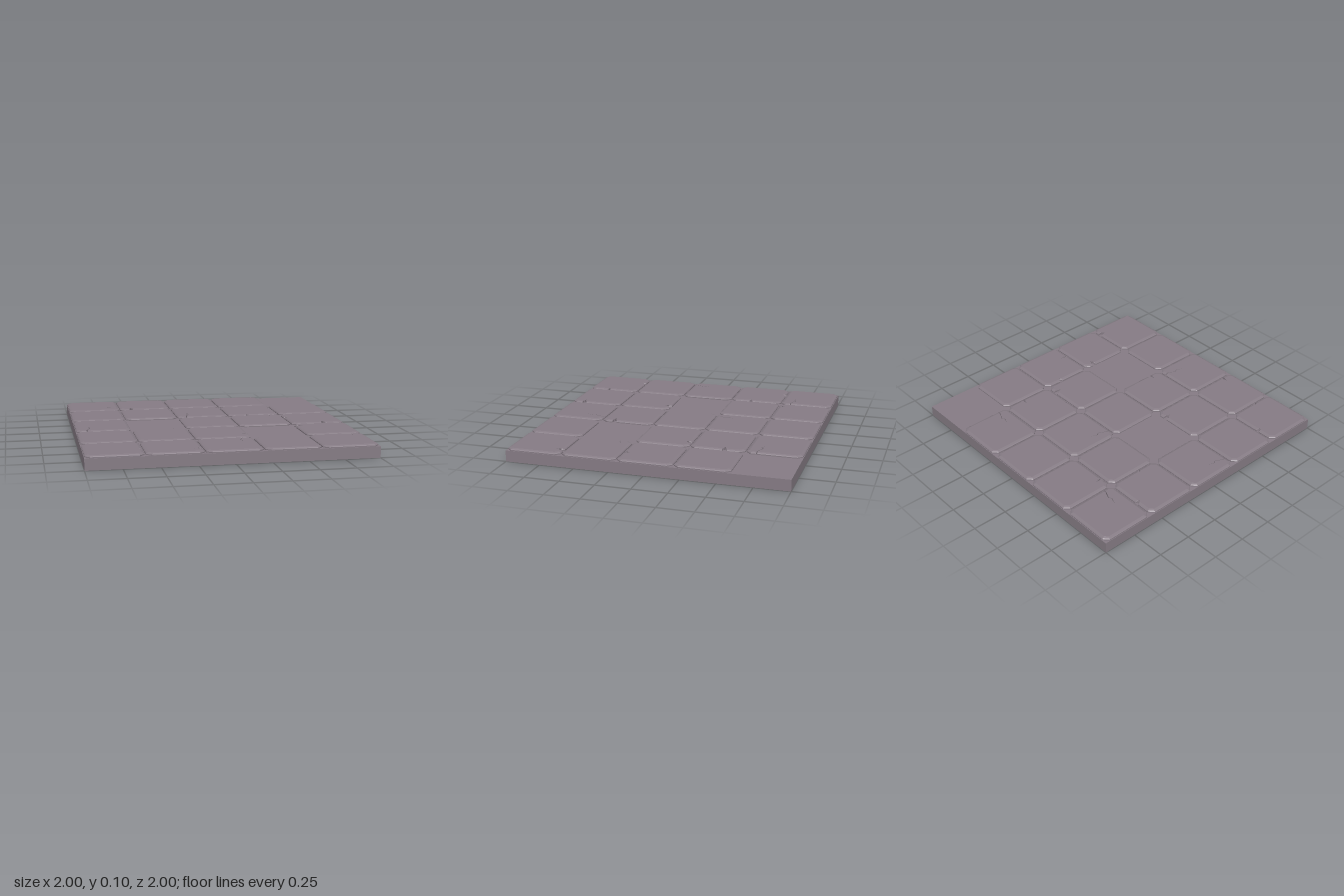
import * as THREE from 'three';

const BASE_TOP = 0.08;
const HALF = 0.196;   // half width of one tile
const CORNER = 0.034; // size of the cut corners

// Tile profile from bottom to top: [inset, height]
const PROFILE = [[0, BASE_TOP], [0, 0.087], [0.006, 0.092], [0.02, 0.097]];

// Notch outlines as [along the edge, depth into the tile]
const CHIP = [[-0.018, 0], [-0.008, 0.026], [-0.016, 0.034], [-0.003, 0.036], [0, 0.062], [0.004, 0.034], [0.012, 0.027], [0.014, 0]];
const NICK = [[-0.014, 0], [0.002, 0.025], [0.012, 0]];
const CRACK_LINE = [[0, 0], [0, 0.03], [-0.026, 0.085], [-0.013, 0.105], [-0.034, 0.16]];
const CRACK_WIDTHS = [0.004, 0.003, 0.003, 0.0025];
const CRACK = [
  ...CRACK_WIDTHS.map((w, i) => [CRACK_LINE[i][0] - w, CRACK_LINE[i][1]]),
  CRACK_LINE[4],
  ...CRACK_WIDTHS.map((w, i) => [CRACK_LINE[i][0] + w, CRACK_LINE[i][1]]).reverse(),
];

// Damage per tile "column,row": [side (0 +x, 1 +z, 2 -x, 3 -z), position along it, outline]
const DAMAGE = {
  '0,0': [[0, 0.12, CRACK]],
  '1,0': [[1, 0.11, CHIP]],
  '3,0': [[0, 0.12, CRACK]],
  '0,1': [[0, 0.04, NICK], [3, -0.05, NICK]],
  '2,1': [[1, 0.13, CRACK]],
  '3,1': [[0, -0.05, CHIP], [1, 0.05, NICK]],
  '0,2': [[1, 0.12, CRACK]],
  '3,2': [[3, 0.11, CHIP]],
  '4,2': [[1, -0.04, CHIP], [2, 0.06, NICK]],
  '1,3': [[3, 0.11, CHIP]],
  '2,3': [[0, 0.1, CHIP]],
  '4,3': [[2, 0.12, CHIP]],
  '0,4': [[0, 0.04, NICK], [3, -0.05, NICK]],
  '1,4': [[0, 0.1, CHIP]],
  '2,4': [[3, 0.12, CRACK]],
  '4,4': [[3, 0.11, CHIP]],
};
const MISSING = ['4,0', '1,2', '3,3'];

// Cut-corner square at one inset, with the notches let into its sides
function ring(inset, damage) {
  const points = [];
  for (let side = 0; side < 4; side++) {
    const nx = [1, 0, -1, 0][side], nz = [0, 1, 0, -1][side];
    const add = (u, d) => points.push(new THREE.Vector2(nx * (HALF - d) - nz * u, nz * (HALF - d) + nx * u));
    const end = HALF - CORNER - inset * 0.41;
    add(-end, inset);
    for (const [s, at, outline] of damage) {
      if (s === side) outline.forEach(([u, d]) => add(at + u, Math.max(d, inset)));
    }
    add(end, inset);
  }
  return points;
}

// Rings joined into walls and bevels, closed by a flat top
function tileGeometry(damage) {
  const position = [];
  const rings = PROFILE.map(([inset, y]) => ring(inset, damage).map(p => new THREE.Vector3(p.x, y, p.y)));
  const face = (...corners) => corners.forEach(p => position.push(p.x, p.y, p.z));
  for (let r = 0; r + 1 < rings.length; r++) {
    const low = rings[r], high = rings[r + 1];
    for (let i = 0; i < low.length; i++) {
      const j = (i + 1) % low.length;
      face(low[i], high[i], low[j]);
      face(low[j], high[i], high[j]);
    }
  }
  const top = rings[rings.length - 1];
  const flat = ring(PROFILE[PROFILE.length - 1][0], damage);
  for (const [a, b, c] of THREE.ShapeUtils.triangulateShape(flat, [])) {
    const A = top[a], B = top[b], C = top[c];
    const up = (B.z - A.z) * (C.x - A.x) - (B.x - A.x) * (C.z - A.z);
    if (up > 0) face(A, B, C); else face(A, C, B);
  }
  const geometry = new THREE.BufferGeometry();
  geometry.setAttribute('position', new THREE.Float32BufferAttribute(position, 3));
  geometry.computeVertexNormals();
  return geometry;
}

export function createModel() {
  const model = new THREE.Group();
  model.name = 'stoneFloor';
  const stone = new THREE.MeshStandardMaterial({ color: 0x857b84 });
  stone.name = 'greyStone';

  // Base slab
  const base = new THREE.Mesh(new THREE.BoxGeometry(2, BASE_TOP, 2), stone);
  base.name = 'baseSlab';
  base.position.y = BASE_TOP / 2;
  model.add(base);

  // Five by five paving tiles, with three left out
  const tiles = new THREE.Group();
  tiles.name = 'pavingTiles';
  for (let row = 0; row < 5; row++) {
    for (let column = 0; column < 5; column++) {
      const key = `${column},${row}`;
      if (MISSING.includes(key)) continue;
      const tile = new THREE.Mesh(tileGeometry(DAMAGE[key] || []), stone);
      tile.name = `tileRow${row + 1}Column${column + 1}`;
      tile.position.set(-0.8 + 0.4 * column, 0, -0.8 + 0.4 * row);
      tiles.add(tile);
    }
  }
  model.add(tiles);
  return model;
}
